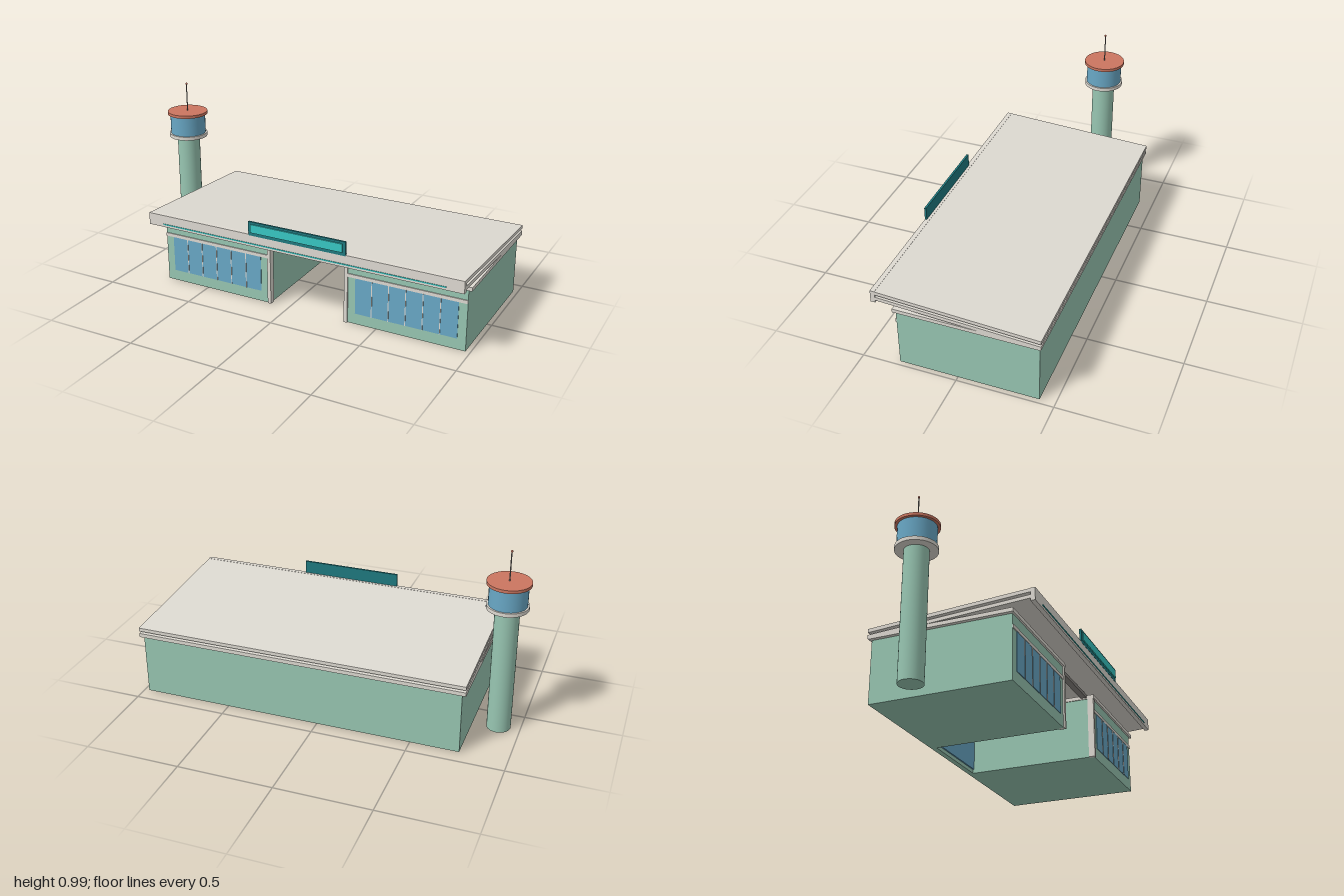
import * as THREE from 'three';

const paint = (color) => new THREE.MeshStandardMaterial({ color });

export function createModel() {
  const model = new THREE.Group();
  const green = paint(0x98c6b2), glass = paint(0x69a8c6), cream = paint(0xdedad2);
  const orange = paint(0xcb7660), darkTeal = paint(0x1f7a80), teal = paint(0x38c8c4), grey = paint(0x8a8682);

  const add = (name, geometry, material, parent = model) => {
    const mesh = new THREE.Mesh(geometry, material);
    mesh.name = name;
    parent.add(mesh);
    return mesh;
  };
  // Box given by its minimum and maximum on each axis
  const box = (name, [x0, x1], [y0, y1], [z0, z1], material, parent) => {
    const g = new THREE.BoxGeometry(x1 - x0, y1 - y0, z1 - z0);
    g.translate((x0 + x1) / 2, (y0 + y1) / 2, (z0 + z1) / 2);
    return add(name, g, material, parent);
  };

  // Two wings mirrored about the entrance axis at x = 0.11
  for (const side of [-1, 1]) {
    const wing = new THREE.Group();
    wing.name = side < 0 ? 'rightWing' : 'leftWing';
    model.add(wing);
    const span = (a, b) => [0.11 + side * a, 0.11 + side * b].sort((p, q) => p - q);

    box('wingWalls', span(0.22, 0.865), [0, 0.33], [-0.42, 0.31], green, wing);
    box('eave', span(0.215, 0.885), [0.33, 0.35], [-0.43, 0.32], cream, wing);
    box('eaveLightStrip', span(0.25, 0.82), [0.35, 0.357], [0.306, 0.312], teal, wing);
    box('windowHeadBand', span(0.22, 0.865), [0.257, 0.275], [0.305, 0.315], cream, wing);
    box('entrancePost', span(0.213, 0.232), [0, 0.335], [0.285, 0.318], cream, wing);

    // Ribbon window: six panes separated by mullions
    box('windowGlass', span(0.273, 0.82), [0.06, 0.257], [0.305, 0.313], glass, wing);
    for (let i = 1; i < 6; i++) {
      const x = 0.273 + i * 0.0912;
      box('mullion', span(x - 0.002, x + 0.002), [0.06, 0.257], [0.305, 0.3155], cream, wing);
    }
  }

  // Recessed entrance between the wings
  box('entranceBackWall', [-0.11, 0.33], [0, 0.33], [-0.42, -0.39], green);
  box('entranceGlass', [-0.105, 0.325], [0.02, 0.25], [-0.39, -0.382], glass);
  box('rearEave', [-0.11, 0.33], [0.33, 0.35], [-0.43, -0.39], cream);
  box('entranceBeam', [-0.105, 0.325], [0.337, 0.356], [0.247, 0.28], grey);

  // Two thin roof slabs falling toward the back
  const roofX = [-0.775, 0.995];
  const slab = (name, y0, y1) => {
    const mesh = box(name, roofX, [y0, y1], [-0.433, 0.428], cream);
    const p = mesh.geometry.attributes.position;
    for (let i = 0; i < p.count; i++) p.setY(i, p.getY(i) - 0.052 * (0.428 - p.getZ(i)));
    mesh.geometry.computeVertexNormals();
  };
  slab('upperRoof', 0.411, 0.43);
  slab('lowerRoof', 0.379, 0.398);
  box('fascia', roofX, [0.365, 0.43], [0.405, 0.429], cream);
  box('fasciaStripe', [-0.685, 0.905], [0.377, 0.383], [0.425, 0.432], teal);

  // Blank sign board above the entrance
  box('signBoard', [-0.162, 0.384], [0.425, 0.5], [0.419, 0.43], darkTeal);
  box('signPanel', [-0.147, 0.369], [0.443, 0.488], [0.428, 0.436], teal);

  // Control tower
  const tower = new THREE.Group();
  tower.name = 'tower';
  tower.position.set(-0.888, 0, -0.125);
  model.add(tower);
  const drum = (name, r, y0, y1, material, sides = 32) =>
    add(name, new THREE.CylinderGeometry(r, r, y1 - y0, sides).translate(0, (y0 + y1) / 2, 0), material, tower);
  drum('towerShaft', 0.062, 0, 0.685, green);
  drum('cabinFloor', 0.106, 0.683, 0.703, cream);
  drum('cabinGlass', 0.097, 0.703, 0.813, glass);
  drum('cabinRoof', 0.111, 0.812, 0.828, orange);
  drum('mast', 0.003, 0.828, 0.98, grey, 10);
  add('mastBeacon', new THREE.SphereGeometry(0.006, 14, 10).translate(0, 0.983, 0), orange, tower);

  return model;
}
